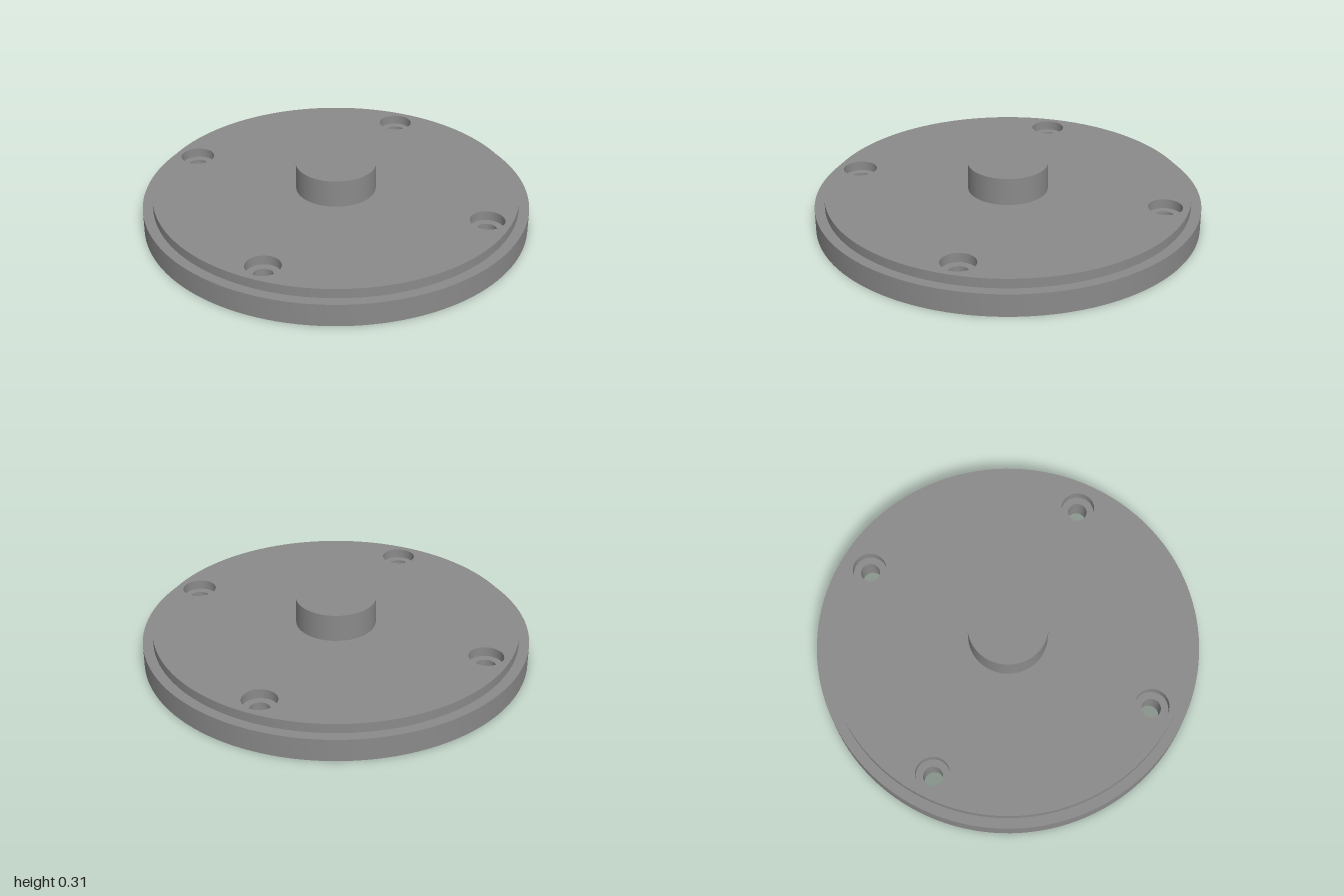
import * as THREE from 'three';
import { toCreasedNormals } from 'three/addons/utils/BufferGeometryUtils.js';

const HOLE_OFFSET = 0.584;

// Upright disc with four through holes in a square pattern
function drilledDisc(radius, holeRadius, bottom, top) {
  const shape = new THREE.Shape();
  shape.absarc(0, 0, radius, 0, Math.PI * 2, false);
  for (const sx of [-1, 1]) {
    for (const sy of [-1, 1]) {
      const hole = new THREE.Path();
      hole.absarc(sx * HOLE_OFFSET, sy * HOLE_OFFSET, holeRadius, 0, Math.PI * 2, true);
      shape.holes.push(hole);
    }
  }
  const geometry = new THREE.ExtrudeGeometry(shape, {
    depth: top - bottom, bevelEnabled: false, curveSegments: 64,
  });
  geometry.rotateX(-Math.PI / 2);
  geometry.translate(0, bottom, 0);
  return toCreasedNormals(geometry, Math.PI / 6);
}

export function createModel() {
  const group = new THREE.Group();
  group.name = 'flangedCover';
  const grey = new THREE.MeshStandardMaterial({ color: 0x8a8a8a });
  grey.name = 'grey metal';

  const add = (name, geometry) => {
    const mesh = new THREE.Mesh(geometry, grey);
    mesh.name = name;
    group.add(mesh);
    return mesh;
  };

  // Wide flange with the narrow bolt holes
  add('flange', drilledDisc(1, 0.05, 0, 0.118));

  // Raised step whose larger holes form the counterbores
  add('raisedStep', drilledDisc(0.947, 0.088, 0.118, 0.168));

  // Central boss
  const boss = add('centralBoss', new THREE.CylinderGeometry(0.207, 0.207, 0.145, 96));
  boss.position.y = 0.168 + 0.145 / 2;

  return group;
}
